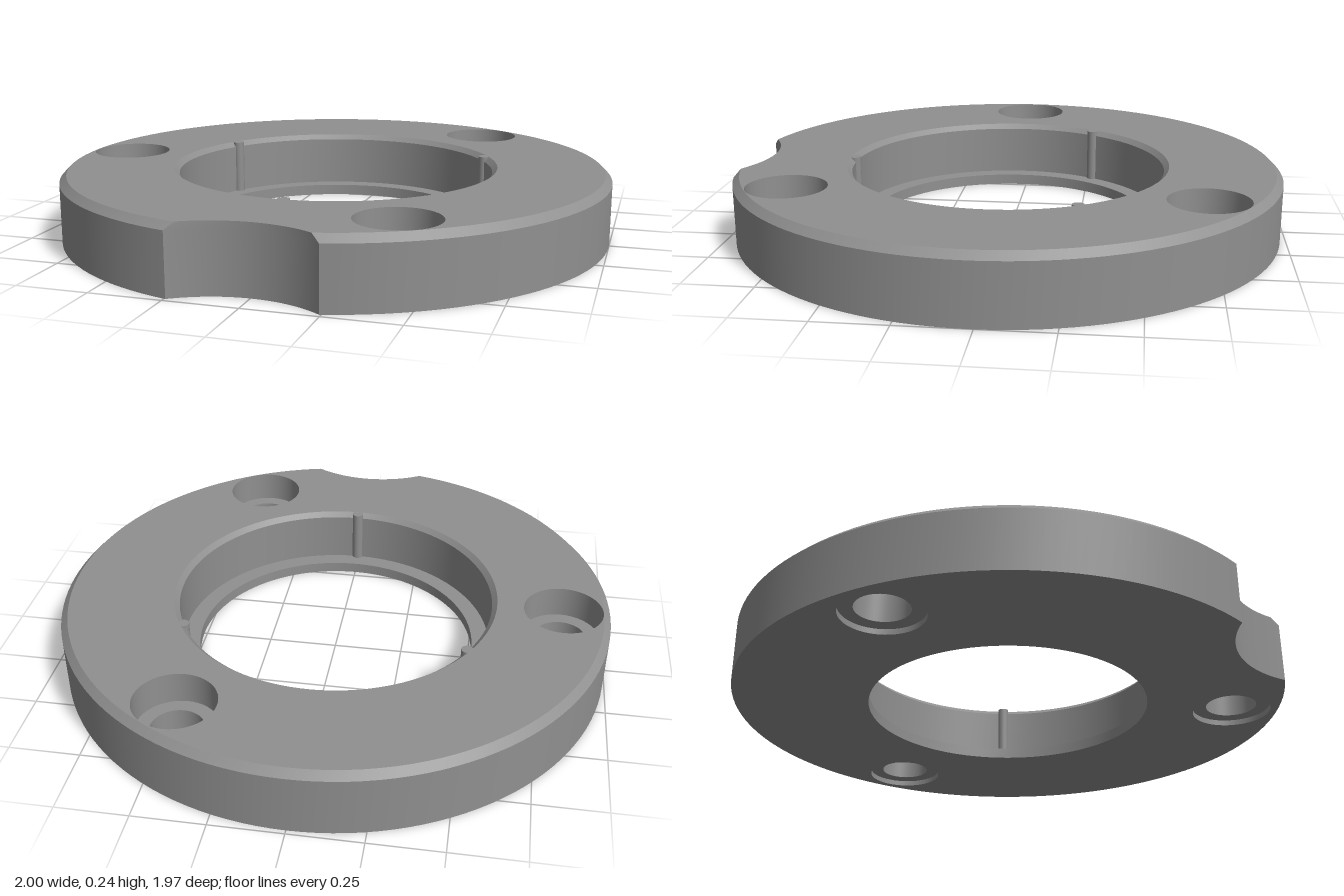
import * as THREE from 'three';
import { mergeGeometries, toCreasedNormals } from 'three/addons/utils/BufferGeometryUtils.js';

const HEIGHT = 0.24;
const CENTRE_Z = 0.015;
const NOTCH = { z: 1.305, r: 0.415 };

// Ring of [x, z] points, anticlockwise seen from above
function circle(r, x = 0, z = 0, n = 64) {
  return Array.from({ length: n }, (_, i) => {
    const a = (i / n) * Math.PI * 2;
    return [x + r * Math.sin(a), z + r * Math.cos(a)];
  });
}

// Outer rim of radius R with a concave bite at the front
function rim(R) {
  const z = (R * R + NOTCH.z ** 2 - NOTCH.r ** 2) / (2 * NOTCH.z);
  const x = Math.sqrt(R * R - z * z);
  const a0 = Math.atan2(x, z), b0 = Math.asin(x / NOTCH.r);
  const pts = [];
  for (let i = 0; i < 120; i++) {
    const a = a0 + (i / 120) * 2 * (Math.PI - a0);
    pts.push([R * Math.sin(a), R * Math.cos(a)]);
  }
  for (let i = 0; i < 24; i++) {
    const b = -b0 + (i / 24) * 2 * b0;
    pts.push([NOTCH.r * Math.sin(b), NOTCH.z - NOTCH.r * Math.cos(b)]);
  }
  return pts;
}

// Wall through successive [ring, y] levels
function loft(levels) {
  const pos = [];
  for (let k = 0; k + 1 < levels.length; k++) {
    const [A, ya] = levels[k], [B, yb] = levels[k + 1];
    for (let i = 0; i < A.length; i++) {
      const j = (i + 1) % A.length;
      const a = [A[i][0], ya, A[i][1]], b = [A[j][0], ya, A[j][1]];
      const c = [B[j][0], yb, B[j][1]], d = [B[i][0], yb, B[i][1]];
      pos.push(...a, ...b, ...c, ...a, ...c, ...d);
    }
  }
  const g = new THREE.BufferGeometry();
  g.setAttribute('position', new THREE.Float32BufferAttribute(pos, 3));
  return g;
}

// Flat face with holes; side = 1 faces up, -1 faces down
function cap(outline, holes, y, side) {
  const to2D = (pts) => pts.map(([x, z]) => new THREE.Vector2(x, -side * z));
  const shape = new THREE.Shape(to2D(outline));
  shape.holes = holes.map((h) => new THREE.Path(to2D(h)));
  const g = new THREE.ShapeGeometry(shape).toNonIndexed();
  g.rotateX((-side * Math.PI) / 2).translate(0, y, 0);
  g.deleteAttribute('uv');
  g.deleteAttribute('normal');
  return g;
}

export function createModel() {
  const group = new THREE.Group();
  const metal = new THREE.MeshStandardMaterial({ color: 0x909090 });

  // Three bolt holes, evenly spaced
  const bolts = [30, 150, 270].map((deg) => {
    const a = (deg * Math.PI) / 180;
    return [0.831 * Math.sin(a), 0.831 * Math.cos(a)];
  });
  const recesses = bolts.map(([x, z]) => circle(0.142, x, z, 48));
  const bore = (r) => circle(r, 0, 0, 128);

  const parts = [
    // Outer wall and chamfer
    loft([[rim(1), 0], [rim(1), 0.215], [rim(0.975), HEIGHT]]),
    // Central bore: chamfer, wall, ledge, lip
    loft([[bore(0.593), HEIGHT], [bore(0.575), 0.222], [bore(0.575), 0.04],
      [bore(0.512), 0.04], [bore(0.512), 0]]),
    cap(rim(0.975), [bore(0.593), ...recesses], HEIGHT, 1),
    cap(rim(1), [bore(0.512), ...recesses], 0, -1),
    // Counterbored bolt holes, with a shallow recess underneath
    ...bolts.map(([x, z]) => loft(
      [[0.142, HEIGHT], [0.142, 0.125], [0.092, 0.125], [0.092, 0.02], [0.142, 0.02], [0.142, 0]]
        .map(([r, y]) => [circle(r, x, z, 48), y]))),
  ];
  const ring = mergeGeometries(parts);
  ring.computeVertexNormals();
  const body = new THREE.Mesh(toCreasedNormals(ring, 0.4), metal);
  body.name = 'flangeRing';
  group.add(body);

  // Small upright ribs on the bore wall
  for (const deg of [0, 120, 240]) {
    const a = (deg * Math.PI) / 180;
    const rib = new THREE.Mesh(new THREE.CylinderGeometry(0.021, 0.021, HEIGHT - 0.04, 20), metal);
    rib.position.set(0.58 * Math.sin(a), (HEIGHT + 0.04) / 2 - 0.0005, 0.58 * Math.cos(a));
    rib.name = 'boreRib';
    group.add(rib);
  }

  group.children.forEach((m) => { m.position.z += CENTRE_Z; });
  return group;
}
